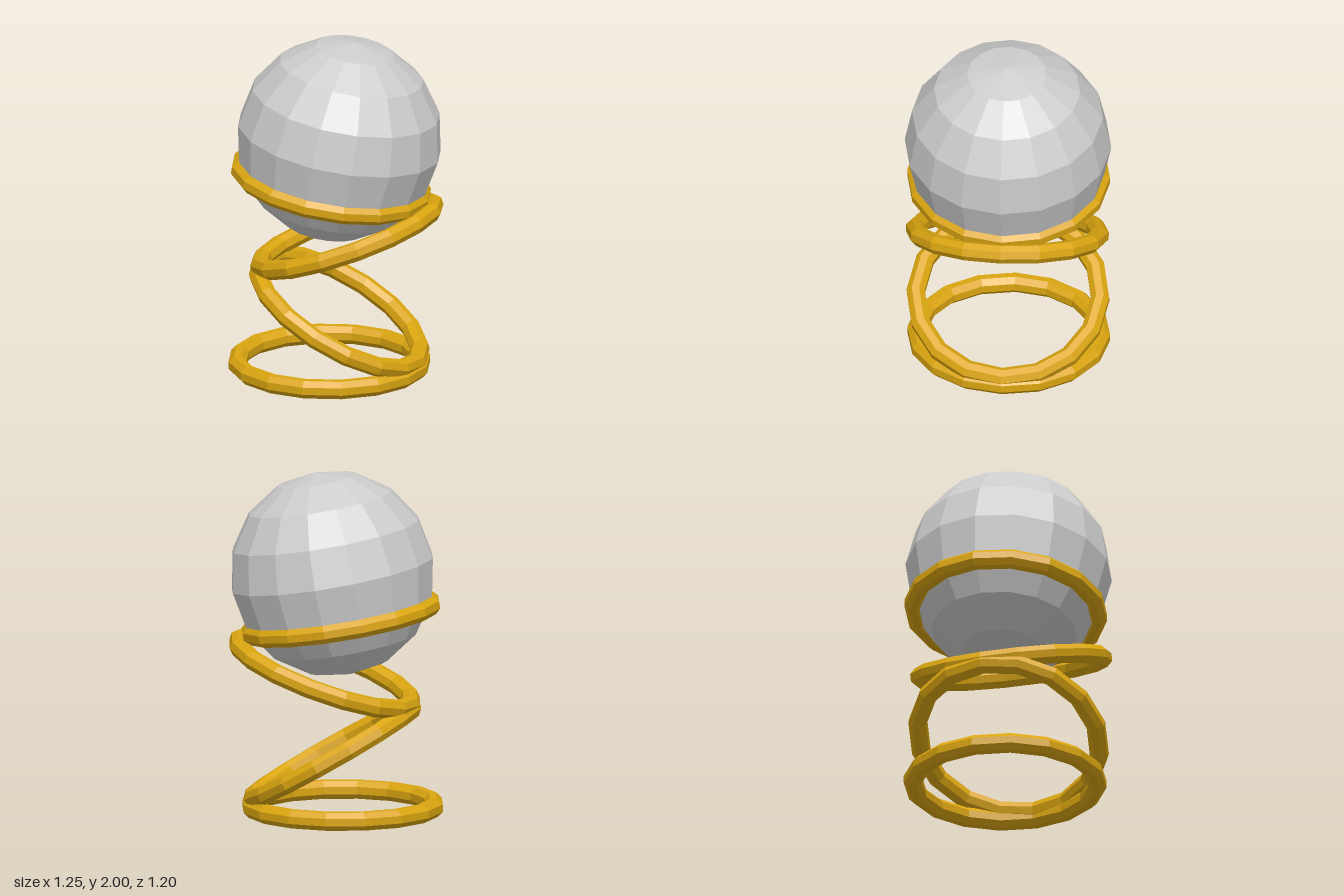
import * as THREE from 'three';

const gold = new THREE.MeshStandardMaterial({ color: 0xdaa510, flatShading: true });
const grey = new THREE.MeshStandardMaterial({ color: 0xcccccc, flatShading: true });

// Ring with an octagonal cross-section, flat on its outer side and top
function ringGeometry(radius, tube) {
  const profile = [];
  for (let i = 0; i <= 8; i++) {
    const a = ((i + 0.5) * Math.PI) / 4;
    profile.push(new THREE.Vector2(radius + tube * Math.cos(a), tube * Math.sin(a)));
  }
  return new THREE.LatheGeometry(profile, 16);
}

export function createModel() {
  const model = new THREE.Group();
  model.name = 'ballOnSpringRings';

  // Tilted rings stacked in a zigzag: name, x, y, tilt in degrees
  const rings = [
    ['baseRing', -0.04, 0.053, 0],
    ['lowerRing', 0.02, 0.36, -30],
    ['middleRing', 0.065, 0.828, 19.7],
    ['cradleRing', -0.03, 1.15, -9.5],
  ];
  const geometry = ringGeometry(0.534, 0.057);
  for (const [name, x, y, tilt] of rings) {
    const ring = new THREE.Mesh(geometry, gold);
    ring.name = name;
    ring.position.set(x, y, 0);
    ring.rotation.z = THREE.MathUtils.degToRad(tilt);
    model.add(ring);
  }

  // Faceted ball resting in the top ring, tilted with it
  const ball = new THREE.Mesh(new THREE.SphereGeometry(0.598, 16, 8), grey);
  ball.name = 'ball';
  ball.position.set(0.02, 1.412, 0);
  ball.rotation.z = THREE.MathUtils.degToRad(-10);
  model.add(ball);

  return model;
}
